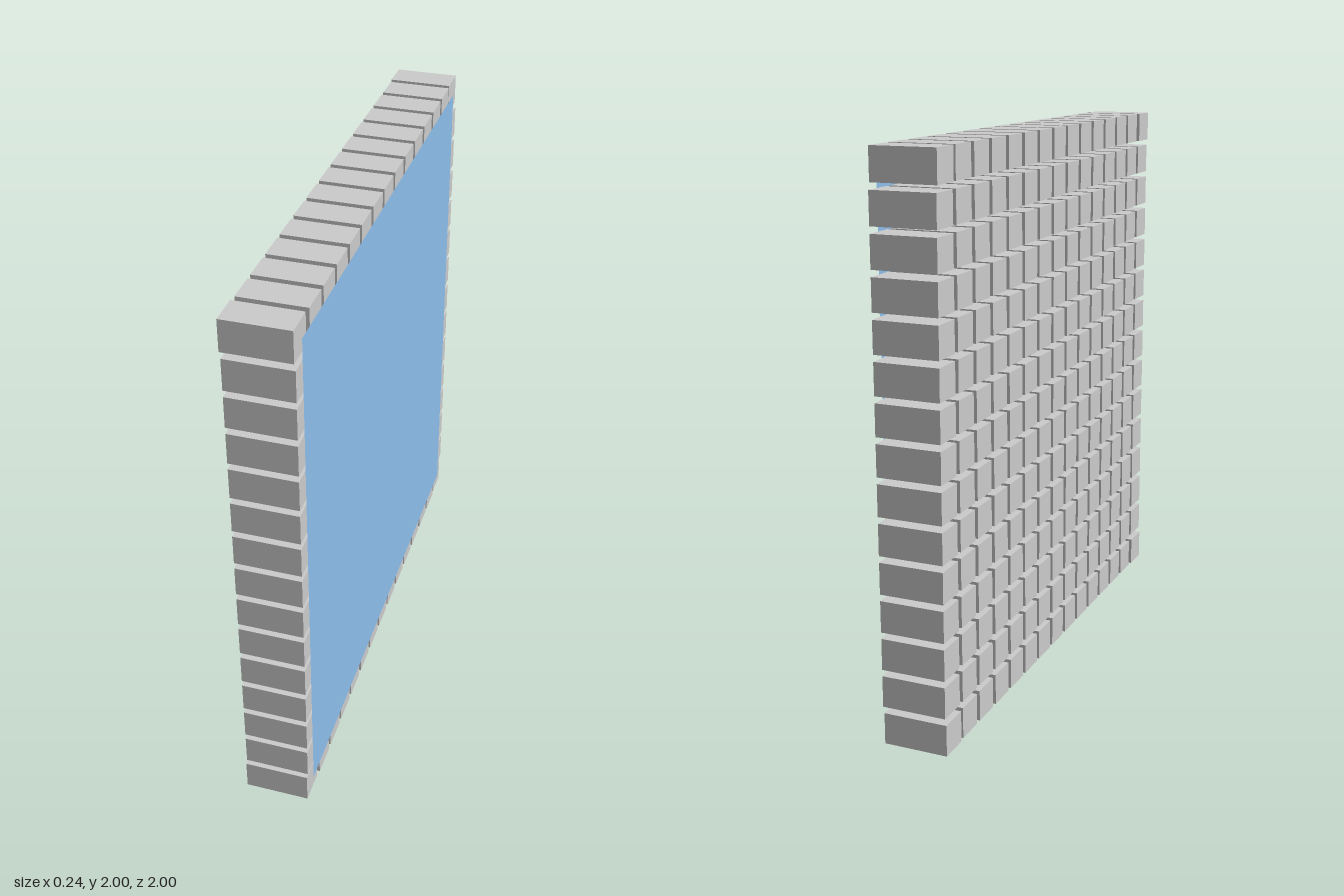
import * as THREE from 'three';

const COUNT = 15;      // blocks per side
const SIZE = 0.112;    // block face size
const DEPTH = 0.232;   // block thickness along x
const PITCH = (2 - SIZE) / (COUNT - 1);

export function createModel() {
  const model = new THREE.Group();
  model.name = 'blockWall';

  const grey = new THREE.MeshStandardMaterial({ color: 0xcccccc });
  const blue = new THREE.MeshStandardMaterial({ color: 0x8dbdea, side: THREE.DoubleSide });

  // Square grid of separate blocks; the four corners sit slightly back
  const blocks = new THREE.Group();
  blocks.name = 'blocks';
  const blockGeometry = new THREE.BoxGeometry(DEPTH, SIZE, SIZE);
  const isEnd = (i) => i === 0 || i === COUNT - 1;
  for (let row = 0; row < COUNT; row++) {
    for (let col = 0; col < COUNT; col++) {
      const corner = isEnd(row) && isEnd(col);
      const block = new THREE.Mesh(blockGeometry, grey);
      block.name = corner ? 'cornerBlock' : 'block';
      block.position.set(corner ? -0.004 : 0, SIZE / 2 + row * PITCH, -1 + SIZE / 2 + col * PITCH);
      blocks.add(block);
    }
  }
  model.add(blocks);

  // Thin sheet covering the left face of the blocks
  const panel = new THREE.Mesh(new THREE.PlaneGeometry(1.885, 1.885), blue);
  panel.name = 'panel';
  panel.rotation.y = Math.PI / 2;
  panel.position.set(0.118, 1, 0);
  model.add(panel);

  return model;
}
